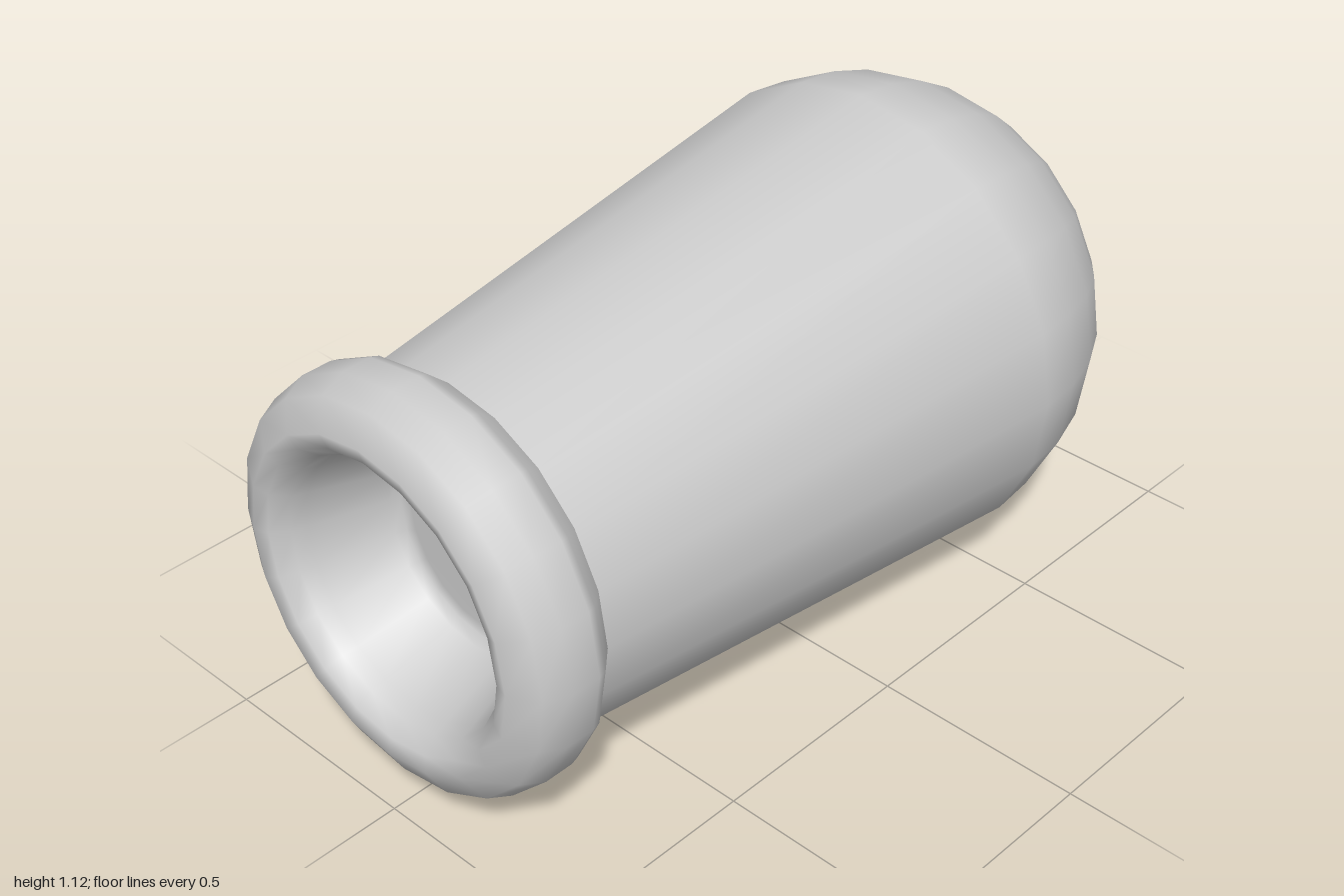
import * as THREE from 'three';

const SIDES = 20;
const DOME_R = 0.56, DOME_Z = -0.44, COLLAR_Z = 0.77;
const REAR_Y = 0.563, FRONT_Y = 0.537;

// Turn a [radius, z] profile around the z axis, with the axis sinking slightly towards the front
function turned(name, profile) {
  const geo = new THREE.LatheGeometry(profile.map(([r, z]) => new THREE.Vector2(r, z)), SIDES);
  geo.rotateX(Math.PI / 2);
  const pos = geo.attributes.position;
  for (let i = 0; i < pos.count; i++) {
    const t = THREE.MathUtils.clamp((pos.getZ(i) - DOME_Z) / (COLLAR_Z - DOME_Z), 0, 1);
    pos.setY(i, pos.getY(i) + THREE.MathUtils.lerp(REAR_Y, FRONT_Y, t));
  }
  const mesh = new THREE.Mesh(geo, new THREE.MeshStandardMaterial({ color: 0xcccccc }));
  mesh.name = name;
  return mesh;
}

export function createModel() {
  const group = new THREE.Group();
  group.name = 'barrel';

  // Rounded rear dome running into the tapering barrel
  const body = [];
  const steps = 8;
  for (let i = 0; i <= steps; i++) {
    const a = (i / steps) * Math.PI / 2;
    body.push([DOME_R * Math.sin(a), DOME_Z - DOME_R * Math.cos(a)]);
  }
  body.push([0.42, COLLAR_Z]);
  group.add(turned('barrelBody', body));

  // Rounded collar folding into the tapered bore and its flat floor
  group.add(turned('muzzleCollarAndBore', [
    [0.42, COLLAR_Z], [0.465, 0.82], [0.47, 0.84], [0.47, 0.91], [0.445, 0.965],
    [0.38, 1.0], [0.345, 0.99], [0.315, 0.955], [0.305, 0.92],
    [0.25, 0.75], [0.235, 0.73], [0.21, 0.725], [0, 0.725],
  ]));

  return group;
}
